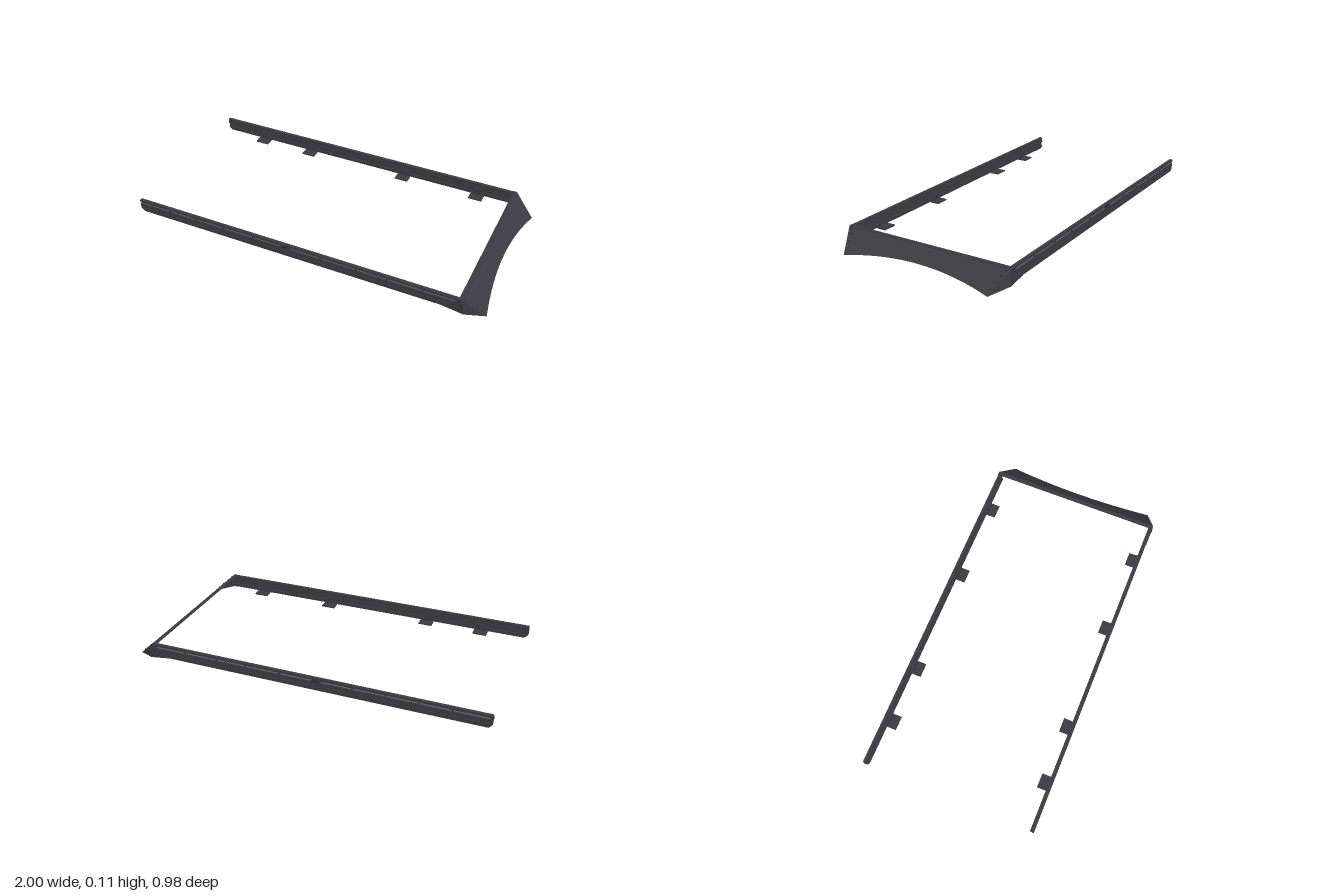
import * as THREE from 'three';

const dark = new THREE.MeshStandardMaterial({ color: 0x3c3b41, side: THREE.DoubleSide });
const black = new THREE.MeshStandardMaterial({ color: 0x26262a });
const light = new THREE.MeshStandardMaterial({ color: 0x77777c });

const add = (parent, name, geometry, material, x = 0, y = 0, z = 0) => {
  const mesh = new THREE.Mesh(geometry, material);
  mesh.name = name;
  mesh.position.set(x, y, z);
  parent.add(mesh);
  return mesh;
};

// Extrude a [z, y] outline along x
function alongX(outline, x0, x1) {
  const shape = new THREE.Shape(outline.map(([z, y]) => new THREE.Vector2(-z, y)));
  const g = new THREE.ExtrudeGeometry(shape, { depth: x1 - x0, bevelEnabled: false });
  return g.rotateY(Math.PI / 2).translate(x0, 0, 0);
}

// x position of the sloping panel at a given height
const slopeX = y => 0.885 + (0.105 - y) * (0.115 / 0.105);

// Sloping end panel with an arched lower edge
function panelGeometry() {
  const s = new THREE.Shape();
  s.moveTo(-0.485, 0.105);
  s.lineTo(-0.428, 0);
  s.quadraticCurveTo(0, 0.08, 0.428, 0);
  s.lineTo(0.485, 0.105);
  s.closePath();
  const g = new THREE.ExtrudeGeometry(s, { depth: 0.005, bevelEnabled: false, curveSegments: 32 });
  g.rotateY(Math.PI / 2).translate(-0.005, 0, 0);
  const p = g.attributes.position;
  for (let i = 0; i < p.count; i++) p.setX(i, p.getX(i) + slopeX(p.getY(i)));
  g.computeVertexNormals();
  return g;
}

// Thin triangular plate folded between the panel and the side plate
function foldGeometry() {
  const corners = [[0.885, 0.105, 0.485], [0.9, 0.021, 0.485], [1, 0, 0.428]];
  const inner = corners.map(([x, y, z]) => [x - 0.003, y, z - 0.003]);
  const g = new THREE.BufferGeometry();
  g.setAttribute('position', new THREE.Float32BufferAttribute([...corners, ...inner].flat(), 3));
  g.setIndex([0, 1, 2, 3, 5, 4, 0, 3, 1, 1, 3, 4, 1, 4, 2, 2, 4, 5, 2, 5, 0, 0, 5, 3]);
  const flat = g.toNonIndexed();
  flat.computeVertexNormals();
  return flat;
}

// Slotted rail profile, with its lower end corner cut back
function railGeometry() {
  const outline = [
    [0.466, 0.107], [0.484, 0.107], [0.484, 0.094], [0.478, 0.094], [0.478, 0.083], [0.484, 0.083],
    [0.484, 0.065], [0.480, 0.065], [0.480, 0.057], [0.484, 0.057], [0.484, 0.036],
    [0.463, 0.036], [0.463, 0.054], [0.471, 0.054], [0.471, 0.078], [0.463, 0.078], [0.463, 0.086],
    [0.466, 0.086],
  ];
  const g = alongX(outline, -1, 0.88);
  const p = g.attributes.position;
  for (let i = 0; i < p.count; i++) {
    if (p.getX(i) < -0.99) p.setX(i, -1 + Math.max(0, 0.056 - p.getY(i)));
  }
  g.computeVertexNormals();
  return g;
}

const rivet = new THREE.SphereGeometry(0.004, 10, 6);
const screw = new THREE.CylinderGeometry(0.004, 0.004, 0.006, 12).rotateX(Math.PI / 2);

// Clamp hooked under the inside of a rail
function createClamp(x) {
  const clamp = new THREE.Group();
  clamp.name = 'clamp';
  clamp.position.x = x;
  add(clamp, 'clampPlate', new THREE.BoxGeometry(0.078, 0.007, 0.052), dark, 0, 0.034, 0.438);
  add(clamp, 'clampStem', new THREE.BoxGeometry(0.05, 0.04, 0.007), dark, 0, 0.055, 0.461);
  add(clamp, 'clampFoot', new THREE.BoxGeometry(0.04, 0.006, 0.03), dark, 0, 0.028, 0.445);
  add(clamp, 'clampBolt', new THREE.CylinderGeometry(0.006, 0.006, 0.006, 6), black, 0, 0.023, 0.44);
  return clamp;
}

function createSide() {
  const side = new THREE.Group();
  side.name = 'side';
  add(side, 'rail', railGeometry(), dark);
  add(side, 'railInsert', new THREE.BoxGeometry(1.85, 0.006, 0.003), light, -0.06, 0.0885, 0.4785);

  // Screws along the groove and a joint between rail halves
  for (const x of [-0.8, -0.63, -0.46, -0.28, 0.12, 0.32, 0.49, 0.68]) {
    add(side, 'railScrew', screw, black, x, 0.0885, 0.481);
  }
  add(side, 'railJoint', new THREE.BoxGeometry(0.05, 0.009, 0.005), black, -0.085, 0.0885, 0.4815);
  for (const x of [-0.1, -0.07]) add(side, 'jointScrew', screw, dark, x, 0.0885, 0.484);

  for (const x of [-0.73, -0.405, 0.21, 0.665]) side.add(createClamp(x));

  // Side plate of the corner
  const plate = new THREE.Shape([[0.79, 0.036], [0.9, 0.021], [0.885, 0.107], [0.865, 0.107], [0.84, 0.075]]
    .map(([x, y]) => new THREE.Vector2(x, y)));
  add(side, 'cornerPlate', new THREE.ExtrudeGeometry(plate, { depth: 0.004, bevelEnabled: false }), dark, 0, 0, 0.482);
  add(side, 'cornerFold', foldGeometry(), dark);

  // Rivets on both sides of the fold
  for (const [y, z] of [[0.095, 0.463], [0.076, 0.45], [0.05, 0.44], [0.026, 0.429]]) {
    add(side, 'panelRivet', rivet, black, slopeX(y), y, z);
  }
  for (const [x, y] of [[0.872, 0.095], [0.876, 0.075], [0.88, 0.055], [0.885, 0.035]]) {
    add(side, 'plateRivet', rivet, black, x, y, 0.485);
  }
  return side;
}

export function createModel() {
  const model = new THREE.Group();
  model.name = 'railFrame';
  add(model, 'endPanel', panelGeometry(), dark);
  add(model, 'panelLip', new THREE.BoxGeometry(0.022, 0.004, 0.97), dark, 0.876, 0.104, 0);
  const left = createSide();
  const right = createSide();
  right.scale.z = -1;
  model.add(left, right);
  return model;
}
